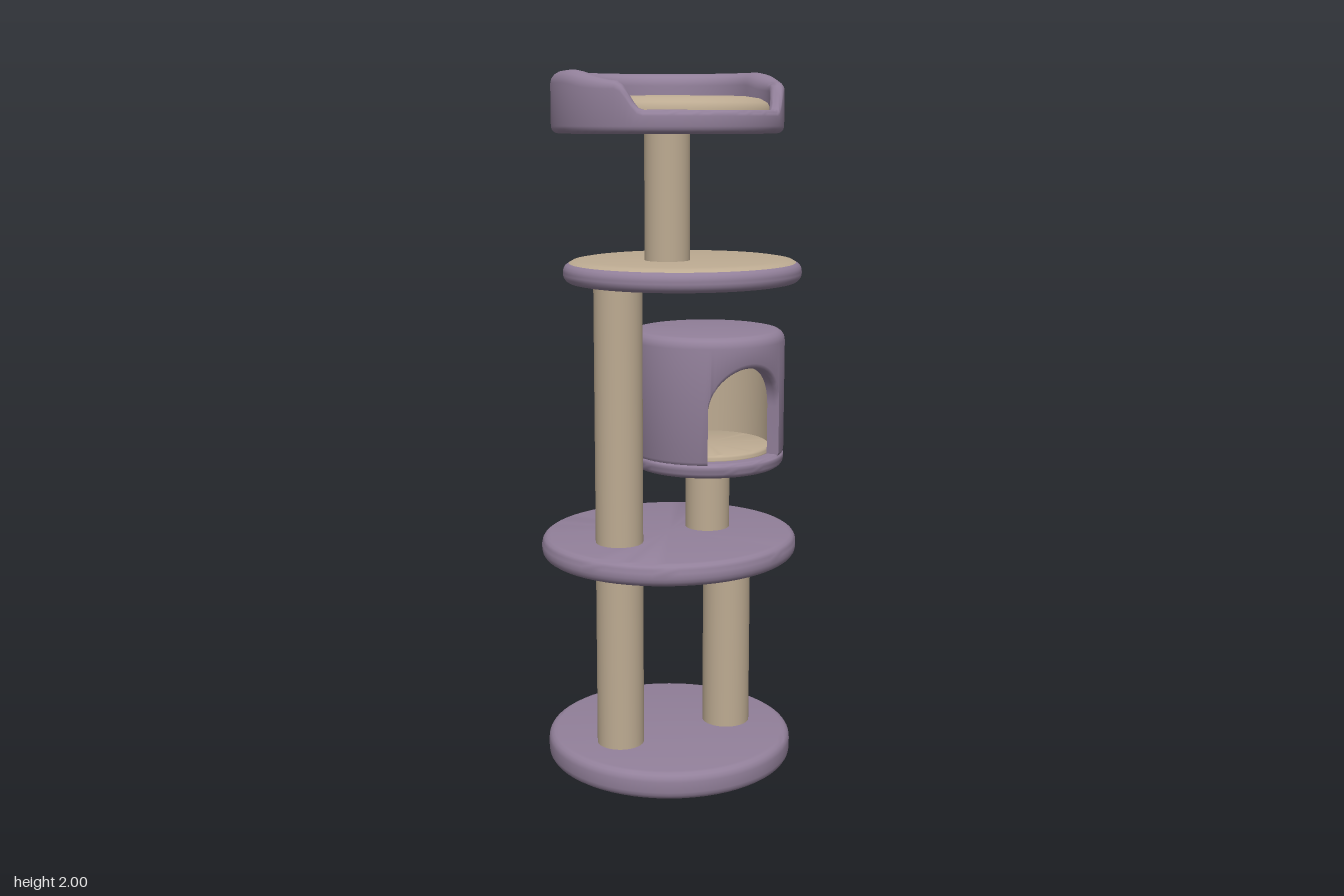
import * as THREE from 'three';
import { toCreasedNormals } from 'three/addons/utils/BufferGeometryUtils.js';

const plush = new THREE.MeshStandardMaterial({ color: 0x92809a, side: THREE.DoubleSide });
plush.name = 'mauve plush';
const sisal = new THREE.MeshStandardMaterial({ color: 0xbdab92, side: THREE.DoubleSide });
sisal.name = 'beige sisal';

const TAU = Math.PI * 2;
const ring = (n = 64) => Array.from({ length: n + 1 }, (_, i) => Math.PI + (i / n) * TAU);
const ramp = THREE.MathUtils.smoothstep;
// Angle away from the front, 0 to PI
const fromFront = a => Math.abs(Math.atan2(Math.sin(a), Math.cos(a)));

// Revolves a profile of [radius, y] that may change with the angle (0 = front)
function sweep(angles, profile) {
  const pos = [], idx = [];
  let m = 0;
  angles.forEach((a, i) => {
    const pts = profile(a, i);
    m = pts.length;
    for (const [r, y] of pts) pos.push(r * Math.sin(a), y, r * Math.cos(a));
  });
  for (let i = 0; i < angles.length - 1; i++) {
    for (let j = 0; j < m - 1; j++) {
      const p = i * m + j, q = p + m;
      idx.push(p, q, q + 1, p, q + 1, p + 1);
    }
  }
  const geo = new THREE.BufferGeometry();
  geo.setAttribute('position', new THREE.Float32BufferAttribute(pos, 3));
  geo.setIndex(idx);
  return toCreasedNormals(geo, 0.9);
}

// Rounded corner points from the side (r, y1 - e) over to the top
const shoulder = (r, y1, e) => [0, 1, 2, 3, 4].map(k => {
  const t = (k / 4) * Math.PI / 2;
  return [r - e + e * Math.cos(t), y1 - e + e * Math.sin(t)];
});
const foot = (r, y0, e) => shoulder(r, 0, e).reverse().map(([x, y]) => [x, y0 - y]);
const slab = (r, y0, y1, e) => sweep(ring(), () =>
  [[0.001, y0], ...foot(r, y0, e), ...shoulder(r, y1, e), [0.001, y1]]);

export function createModel() {
  const model = new THREE.Group();
  model.name = 'catTree';

  const add = (name, geo, mat, x = 0, z = 0, parent = model) => {
    const mesh = new THREE.Mesh(geo, mat);
    mesh.name = name;
    mesh.position.set(x, 0, z);
    parent.add(mesh);
    return mesh;
  };

  // Round platforms
  add('base', slab(0.36, 0, 0.08, 0.025), plush, -0.005, 0);
  add('middlePlatform', slab(0.375, 0.62, 0.685, 0.025), plush, -0.005, 0).scale.z = 0.95;
  add('upperPlatform', slab(0.343, 1.415, 1.472, 0.025), plush, 0.037, 0.003).scale.z = 0.955;
  add('upperPlatformPad', sweep(ring(), () =>
    [[0.329, 1.455], [0.327, 1.47], [0.315, 1.477], [0.29, 1.481], [0.001, 1.481]]),
  sisal, 0.037, 0.003).scale.z = 0.955;

  // Posts: name, x, z, radius, bottom, top
  for (const [name, x, z, r, y0, y1] of [
    ['tallPost', -0.187, 0.04, 0.068, 0.06, 1.43],
    ['lowerPost', 0.17, 0.035, 0.07, 0.06, 0.64],
    ['housePost', 0.122, 0.002, 0.065, 0.66, 0.89],
    ['topPost', -0.027, 0.03, 0.064, 1.46, 1.85],
  ]) {
    const geo = new THREE.CylinderGeometry(r, r, y1 - y0, 32).translate(0, (y0 + y1) / 2, 0);
    add(name, geo, sisal, x, z);
  }

  // Round house with an arched doorway
  const house = new THREE.Group();
  house.name = 'house';
  house.position.set(0.12, 0, -0.002);
  model.add(house);
  const R = 0.226, inner = 0.19, sill = 0.92;
  const doorMid = 0.078, doorHalf = 0.575, doorW = R * Math.sin(doorHalf);
  const nDoor = 24, nWall = 48;
  const angles = [], edge = [];
  for (let i = 0; i <= nDoor; i++) {
    const t = -Math.cos((i / nDoor) * Math.PI);
    const dx = R * Math.sin(t * doorHalf) / doorW;
    angles.push(doorMid + t * doorHalf);
    edge.push(1.06 + 0.125 * Math.sqrt(Math.max(0, 1 - dx * dx)));
  }
  for (let i = 0; i <= nWall; i++) {
    angles.push(doorMid + doorHalf + (i / nWall) * (TAU - 2 * doorHalf));
    edge.push(sill - 0.01);
  }
  angles.push(angles[0]);
  edge.push(edge[0]);
  angles[angles.length - 1] += TAU;
  add('houseShell', sweep(angles, (a, i) => [
    [inner, edge[i]], [R - 0.015, edge[i]], [R - 0.004, edge[i] + 0.004], [R, edge[i] + 0.015],
    ...shoulder(R, 1.275, 0.03), [0.001, 1.275]]), plush, 0, 0, house);
  add('houseLining', sweep(angles, (a, i) =>
    [[0.001, 1.245], [inner, 1.245], [inner, edge[i]]]), sisal, 0, 0, house);
  add('houseFloor', sweep(ring(), () => [
    [0.001, 0.875], ...foot(R, 0.875, 0.025), ...shoulder(R, sill, 0.012), [0.001, sill]]),
  plush, 0, 0, house);
  add('houseCushion', slab(0.188, 0.905, 0.937, 0.014), sisal, 0, 0, house);

  // Top bed: raised rim that dips at the front
  const bed = new THREE.Group();
  bed.name = 'bed';
  bed.position.set(-0.01, 0, 0);
  model.add(bed);
  const bedR = 0.324;
  const rimTop = f => 1.892 + 0.073 * ramp(f, 0.7, 0.93) + 0.034 * ramp(f, 0.85, 1.6);
  const rimInner = f => 0.292 - 0.046 * ramp(f, 0.7, 1.5);
  add('bedShell', sweep(ring(128), a => {
    const f = fromFront(a), h = rimTop(f), ri = rimInner(f);
    const w = (bedR - ri) / 2, e = Math.min(w, 0.035), mid = (bedR + ri) / 2;
    const crown = [0, 1, 2, 3, 4, 5, 6, 7, 8].map(k => {
      const t = (k / 8) * Math.PI;
      return [mid + w * Math.cos(t), h - e + e * Math.sin(t)];
    });
    return [[0.001, 1.83], ...foot(bedR, 1.83, 0.02), ...crown, [ri, 1.86]];
  }), plush, 0, 0, bed);
  add('bedCushion', sweep(ring(128), a => {
    const r = rimInner(fromFront(a)) + 0.002;
    return [[r, 1.87], [r, 1.895], [r - 0.008, 1.912], [r - 0.03, 1.924], [r - 0.07, 1.93], [0.001, 1.932]];
  }), sisal, 0, 0, bed);

  return model;
}
